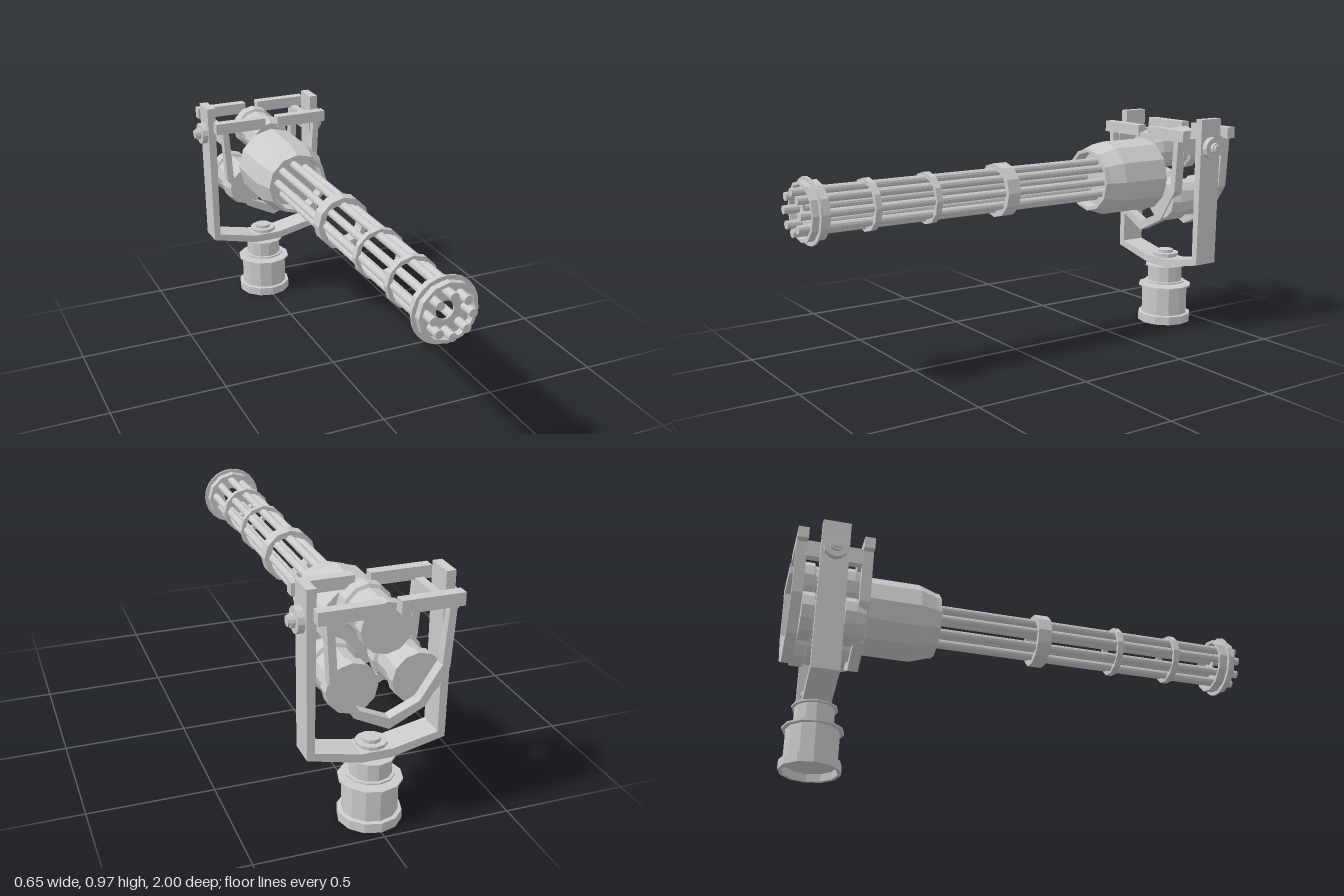
import * as THREE from 'three';

const AXIS_Y = 0.708;   // height of the barrel axis
const MOUNT_Z = -0.85;  // depth of the yoke and pedestal

const grey = new THREE.MeshStandardMaterial({ color: 0xcccccc, flatShading: true });

function add(parent, name, geometry, x = 0, y = 0, z = 0) {
  const mesh = new THREE.Mesh(geometry, grey);
  mesh.name = name;
  mesh.position.set(x, y, z);
  parent.add(mesh);
  return mesh;
}

// Profile of [radius, height] pairs, listed counter-clockwise, turned around y
function turned(profile, sides = 12) {
  return new THREE.LatheGeometry(profile.map(([r, h]) => new THREE.Vector2(r, h)), sides);
}

// Same, but turned around the z axis
const turnedZ = (profile, sides) => turned(profile, sides).rotateX(Math.PI / 2);

// Ring around z with a rectangular section
function ringZ(inner, outer, z0, z1, sides = 12) {
  return turnedZ([[inner, z0], [outer, z0], [outer, z1], [inner, z1], [inner, z0]], sides);
}

// Outline given for the +x half only, mirrored and extruded from z0 to z1
function mirroredPlate(outer, inner, z0, z1) {
  const half = [...outer, ...inner];
  const other = half.slice().reverse().map(([x, y]) => [-x, y]).filter(([x]) => x !== 0);
  // outer runs from the centre line outwards and up, inner comes back down to it
  const points = [...half, ...other].map(([x, y]) => new THREE.Vector2(x, y));
  const shape = new THREE.Shape(points);
  return new THREE.ExtrudeGeometry(shape, { depth: z1 - z0, bevelEnabled: false }).translate(0, 0, z0);
}

function makeBarrels() {
  const group = new THREE.Group();
  group.name = 'barrelCluster';
  group.position.y = AXIS_Y;

  // Eight barrels in a circle
  const barrel = new THREE.CylinderGeometry(0.017, 0.017, 1.46, 12).rotateX(Math.PI / 2);
  for (let i = 0; i < 8; i++) {
    const a = (i * Math.PI) / 4;
    add(group, 'barrel', barrel, 0.077 * Math.cos(a), 0.077 * Math.sin(a), 0.27);
  }

  // Bands that hold the barrels together
  for (const [z0, z1, r] of [[0.048, 0.107, 0.113], [0.412, 0.438, 0.106], [0.676, 0.702, 0.106]]) {
    add(group, 'barrelBand', ringZ(0.088, r, z0, z1));
  }

  // Muzzle clamp: open collar with a thin drilled plate
  add(group, 'muzzleCollar', ringZ(0.105, 0.118, 0.893, 0.965));
  add(group, 'muzzlePlate', ringZ(0.036, 0.132, 0.93, 0.938, 24));
  return group;
}

function makeHousing() {
  const group = new THREE.Group();
  group.name = 'housing';
  // Tapered drum with a recessed front
  add(group, 'housingDrum', turnedZ([
    [0, -0.7], [0.163, -0.7], [0.163, -0.47], [0.14, -0.4], [0.137, -0.38],
    [0.122, -0.38], [0.118, -0.43], [0, -0.43],
  ]), 0, AXIS_Y, 0);

  // Three motors between the frame plates
  const motor = turnedZ([
    [0, -0.955], [0.097, -0.955], [0.097, -0.905], [0.084, -0.9],
    [0.084, -0.79], [0.097, -0.785], [0.097, -0.74], [0.085, -0.7], [0, -0.7],
  ]);
  for (const [x, y] of [[0, 0.813], [-0.123, 0.605], [0.123, 0.605]]) {
    add(group, 'motor', motor, x, y, 0);
  }
  return group;
}

function makeFrame() {
  const group = new THREE.Group();
  group.name = 'cradleFrame';
  // U-shaped plates in front of and behind the motors
  const outer = [[0, 0.449], [0.133, 0.515], [0.222, 0.654], [0.236, 0.878]];
  const inner = [[0.208, 0.878], [0.193, 0.665], [0.112, 0.54], [0, 0.49]];
  for (const [z0, z1] of [[-0.735, -0.692], [-1.0, -0.957]]) {
    add(group, 'cradlePlate', mirroredPlate(outer, inner, z0, z1));
    for (const side of [-1, 1]) {
      add(group, 'topBar', new THREE.BoxGeometry(0.236, 0.049, z1 - z0), side * 0.148, 0.9015, (z0 + z1) / 2);
    }
  }
  // Side beams joining the two plates
  for (const side of [-1, 1]) {
    add(group, 'sideBeam', new THREE.BoxGeometry(0.033, 0.07, 0.24), side * 0.218, 0.85, -0.846);
  }
  return group;
}

function makeYoke() {
  const group = new THREE.Group();
  group.name = 'yoke';
  // Fork with upright arms and a shallow V base
  const outer = [[0.06, 0.27], [0.267, 0.318], [0.273, 0.97]];
  const inner = [[0.236, 0.97], [0.238, 0.342], [0.06, 0.305]];
  add(group, 'fork', mirroredPlate(outer, inner, MOUNT_Z - 0.056, MOUNT_Z + 0.056));

  // Pivot caps, bolts and inner nuts on both arms: [radius, start x, end x]
  const steps = [[0.049, 0.268, 0.298], [0.026, 0.298, 0.313], [0.02, 0.313, 0.323],
    [0.026, 0.198, 0.24], [0.012, 0.19, 0.2]];
  for (const side of [-1, 1]) {
    for (const [r, x0, x1] of steps) {
      const disc = new THREE.CylinderGeometry(r, r, x1 - x0, 12).rotateZ(Math.PI / 2);
      add(group, 'pivot', disc, (side * (x0 + x1)) / 2, 0.843, MOUNT_Z);
    }
  }
  return group;
}

function makePedestal() {
  const group = new THREE.Group();
  group.name = 'pedestal';
  // Hollow foot, drum, swivel drum and the pin through the fork
  add(group, 'pedestalBody', turned([
    [0, 0.03], [0.105, 0.03], [0.108, 0], [0.122, 0], [0.122, 0.038], [0.106, 0.04],
    [0.106, 0.166], [0.122, 0.167], [0.122, 0.175], [0.05, 0.175], [0.05, 0.187],
    [0.092, 0.187], [0.092, 0.193], [0.08, 0.194], [0.08, 0.261], [0.092, 0.262],
    [0.092, 0.269], [0.05, 0.269], [0.05, 0.312], [0.06, 0.313], [0.06, 0.325],
    [0.036, 0.325], [0.036, 0.339], [0, 0.339],
  ]), 0, 0, MOUNT_Z);
  return group;
}

export function createModel() {
  const model = new THREE.Group();
  model.name = 'mountedRotaryGun';
  model.add(makeBarrels(), makeHousing(), makeFrame(), makeYoke(), makePedestal());
  return model;
}
